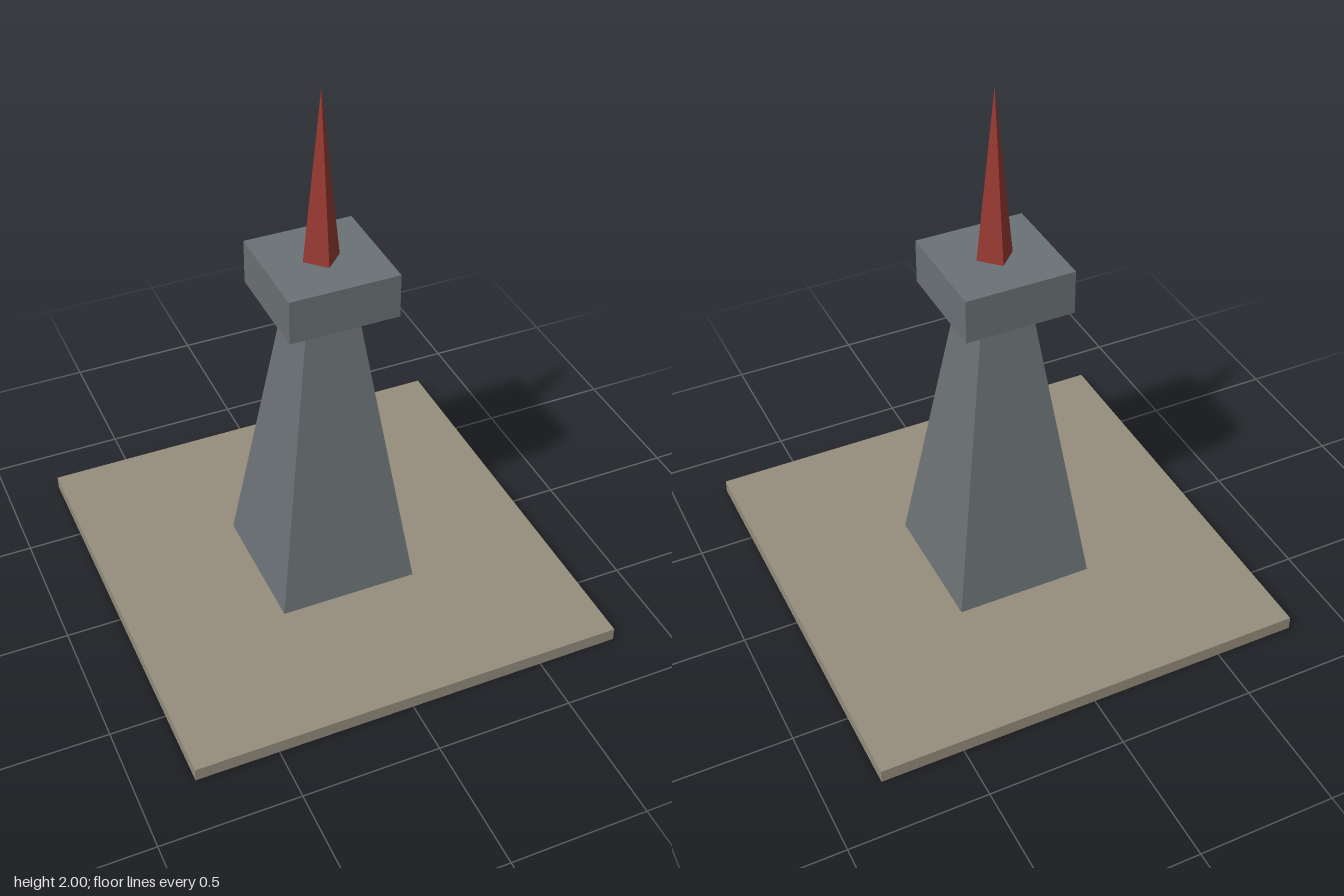
import * as THREE from 'three';

const flat = (name, color) => {
  const m = new THREE.MeshStandardMaterial({ color, flatShading: true });
  m.name = name;
  return m;
};

export function createModel() {
  const model = new THREE.Group();
  model.name = 'tower';
  const sand = flat('sand', 0x968e7e);
  const slate = flat('slate grey', 0x6b7275);
  const red = flat('brick red', 0x983a32);

  const add = (name, geometry, material, bottom, top) => {
    const mesh = new THREE.Mesh(geometry, material);
    mesh.name = name;
    mesh.position.y = (bottom + top) / 2;
    model.add(mesh);
  };

  // Square ground slab
  add('groundSlab', new THREE.BoxGeometry(1.6, 0.05, 1.6), sand, 0, 0.05);

  // Tapered square shaft, sides facing the axes
  const shaft = new THREE.CylinderGeometry(0.092 * Math.SQRT2, 0.258 * Math.SQRT2, 1.155, 4);
  shaft.rotateY(Math.PI / 4);
  add('shaft', shaft, slate, 0.05, 1.205);

  // Overhanging lookout block
  add('lookout', new THREE.BoxGeometry(0.4, 0.165, 0.4), slate, 1.205, 1.37);

  // Four-sided spire, corners on the axes
  add('spire', new THREE.ConeGeometry(0.067, 0.63, 4), red, 1.37, 2);

  return model;
}
